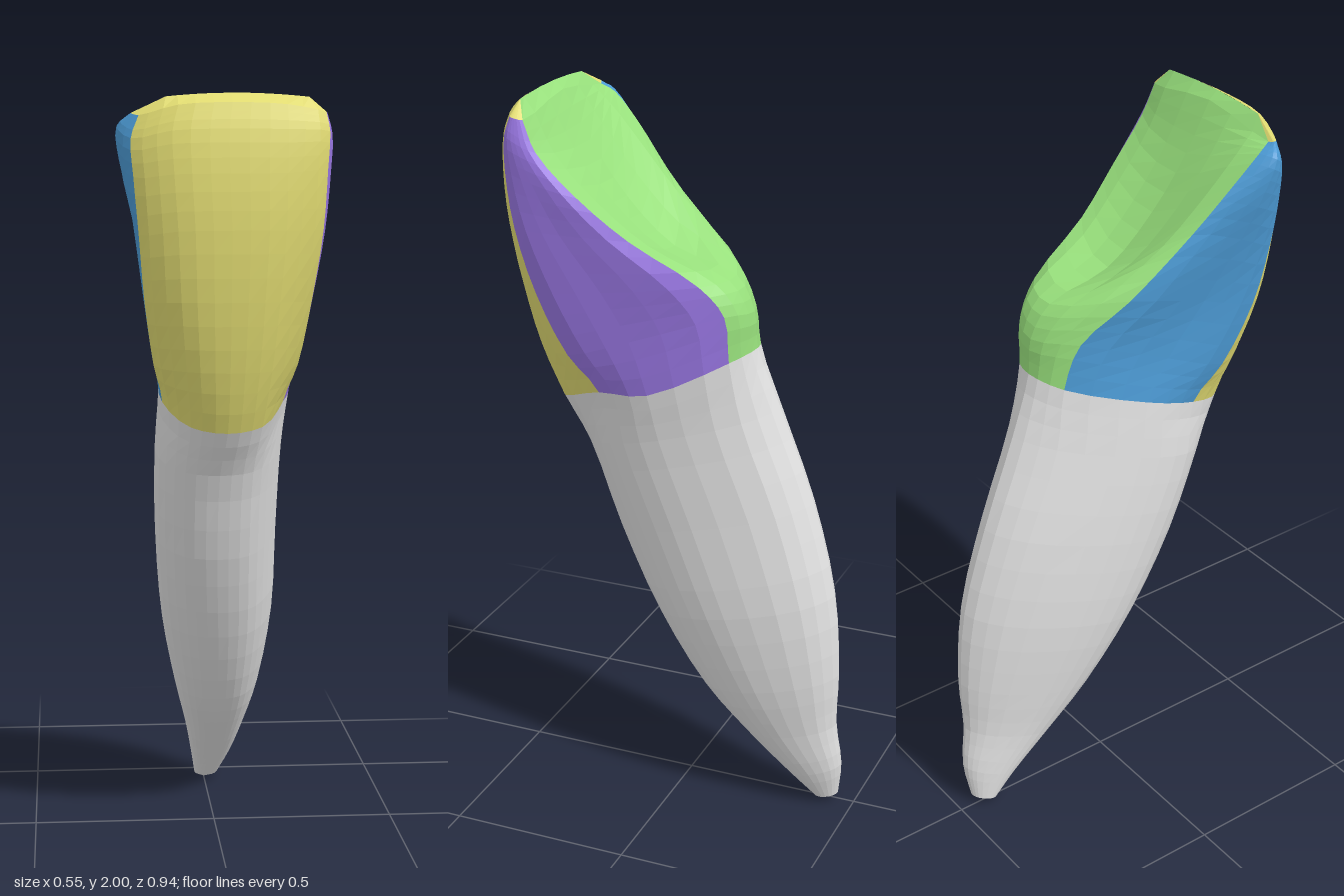
import * as THREE from 'three';

const V = (x, y, z) => new THREE.Vector3(x, y, z);
const mix = THREE.MathUtils.lerp;
const POINTS = 10;           // control points of a ring
const STEPS = 3;             // rows between two control rings
const SEGS = 3;              // columns between two control points
const COLS = POINTS * SEGS;

// Ring of ten points: front, shoulder, corner, side, rear corner, back, and the other side in reverse.
// On the right side, lift and shift move the rear ridge up and forward, tuck pulls in the front corner;
// dip lowers the left side
function ring(cf, cb, F, fc, bulge, bc, B, { lift = 0, shift = 0, tuck = 0, dip = 0 } = {}) {
  const [wf, zf, yf] = fc, [wb, zb, yb] = bc;
  const cm = (cf + cb) / 2, wm = (wf + wb) / 2 + bulge;
  const zm = mix(zf, zb, 0.42), ym = mix(yf, yb, 0.42);
  const front = V(cf, F[1], F[0]);
  const left = V(cf + wf, yf, zf);
  const right = V(cf - wf + tuck, yf - tuck * 1.5, zf - tuck);
  const shoulder = (p) => V(mix(cf, p.x, 0.58), mix(p.y, F[1], 0.8), mix(p.z, F[0], 0.8));
  return [
    front, shoulder(left), left, V(cm + wm, ym - dip, zm), V(cb + wb, yb, zb),
    V(cb, B[1], B[0]),
    V(cb - wb - shift * 0.4, yb + lift, zb + shift),
    V(cm - wm - tuck * 1.5, ym + lift / 2, zm + shift / 2 - tuck * 2), right, shoulder(right),
  ];
}

// Tilted oval root ring between a front and a back point, narrower behind
function oval(cx, F, B, w) {
  const at = (u) => [mix(F[0], B[0], u), mix(F[1], B[1], u)];
  return ring(cx, cx + w * 0.2, F, [w * 0.91, ...at(0.2)], w * 0.245, [w * 0.6, ...at(0.87)], B);
}

const rootRings = [
  oval(0.004, [-0.385, 0.012], [-0.455, 0.026], 0.034),
  oval(0.014, [-0.315, 0.08], [-0.467, 0.13], 0.058),
  oval(0.018, [-0.19, 0.195], [-0.452, 0.26], 0.086),
  oval(0.016, [-0.06, 0.33], [-0.457, 0.42], 0.12),
  oval(0.006, [0.08, 0.54], [-0.437, 0.66], 0.154),
  oval(-0.006, [0.2, 0.78], [-0.367, 0.92], 0.165),
  oval(-0.006, [0.29, 1.02], [-0.267, 1.18], 0.169),
];

// Crown rings from the neck to the biting edge
const crownRings = [
  ring(0.008, 0.038, [0.365, 1.14], [0.16, 0.2, 1.205], 0.042, [0.1, -0.162, 1.328], [-0.205, 1.345], { dip: 0.03 }),
  ring(0.01, 0.04, [0.42, 1.3], [0.188, 0.275, 1.31], 0.028, [0.108, -0.152, 1.455], [-0.195, 1.445], { shift: 0.03 }),
  ring(0.01, 0.03, [0.455, 1.48], [0.214, 0.35, 1.48], 0.022, [0.14, -0.09, 1.535], [-0.14, 1.535], { lift: 0.04, shift: 0.08 }),
  ring(0.01, 0.02, [0.47, 1.66], [0.237, 0.395, 1.66], 0.02, [0.185, 0.09, 1.645], [0.04, 1.59], { lift: 0.09, shift: 0.06, tuck: 0.008 }),
  ring(0.005, 0.015, [0.466, 1.8], [0.25, 0.412, 1.81], 0.02, [0.222, 0.22, 1.755], [0.18, 1.71], { lift: 0.095, shift: 0.03, tuck: 0.013 }),
  ring(0.005, 0.01, [0.45, 1.91], [0.255, 0.408, 1.905], 0.014, [0.24, 0.325, 1.865], [0.285, 1.85], { lift: 0.06, tuck: 0.012 }),
  ring(0.014, 0.012, [0.428, 1.975], [0.238, 0.395, 1.953], 0.006, [0.233, 0.362, 1.945], [0.36, 1.978], { tuck: 0.006 }),
];

// Smooth the control rings lengthwise, then around
function makeRows() {
  const rings = [...rootRings, ...crownRings];
  const lines = rings[0].map((_, i) => new THREE.CatmullRomCurve3(rings.map((r) => r[i])));
  const count = (rings.length - 1) * STEPS;
  return Array.from({ length: count + 1 }, (_, r) => {
    const loop = new THREE.CatmullRomCurve3(lines.map((l) => l.getPoint(r / count)), true);
    return Array.from({ length: COLS }, (_, c) => loop.getPoint(c / COLS));
  });
}

// Faceted mesh from a list of triangle corners
function facets(name, points, material) {
  const geometry = new THREE.BufferGeometry().setFromPoints(points);
  geometry.computeVertexNormals();
  const mesh = new THREE.Mesh(geometry, material);
  mesh.name = name;
  return mesh;
}

export function createModel() {
  const paint = (name, color) => {
    const m = new THREE.MeshStandardMaterial({ color });
    m.name = name;
    return m;
  };
  const group = new THREE.Group();
  group.name = 'incisorTooth';

  // The last row is the ridge that closes the biting edge
  const rows = makeRows();
  const rim = rows.length - 1, neck = rootRings.length * STEPS;
  rows.push(rows[rim].map((p) => {
    const x = THREE.MathUtils.clamp(p.x, -0.15, 0.21);
    return V(x, 2 - 0.3 * (x - 0.03) ** 2, 0.385);
  }));

  // Triangles of a patch of the skin, between control points p0 and p1 of the rings
  const patch = (r0, r1, p0, p1) => {
    const out = [];
    for (let r = r0; r < r1; r++) {
      for (let k = p0 * SEGS; k < p1 * SEGS; k++) {
        const i = (k + COLS) % COLS, j = (k + 1 + COLS) % COLS;
        const a = rows[r][i], b = rows[r][j], c = rows[r + 1][j], d = rows[r + 1][i];
        out.push(a, b, c);
        if (!c.equals(d)) out.push(a, c, d);
      }
    }
    return out;
  };

  // Root, closed by a fan at the tip
  const root = patch(0, neck, 0, POINTS);
  const tip = V(0, 0, -0.415);
  rows[0].forEach((a, i) => root.push(tip, rows[0][(i + 1) % COLS], a));
  group.add(facets('root', root, paint('rootGrey', 0xe0e0e0)));

  // Front face, running over the biting edge and its corners
  const front = [
    ...patch(neck, rim + 1, -2, 2),
    ...patch(rim, rim + 1, 2, 4),
    ...patch(rim, rim + 1, 6, 8),
  ];
  group.add(facets('frontFace', front, paint('yellow', 0xe2dc72)));

  // Side faces and rear face of the crown
  group.add(facets('leftFace', patch(neck, rim, 2, 4), paint('purple', 0x9876e2)));
  group.add(facets('rearFace', patch(neck, rim + 1, 4, 6), paint('green', 0x98e07c)));
  group.add(facets('rightFace', patch(neck, rim, 6, 8), paint('blue', 0x4c9ad4)));
  return group;
}
